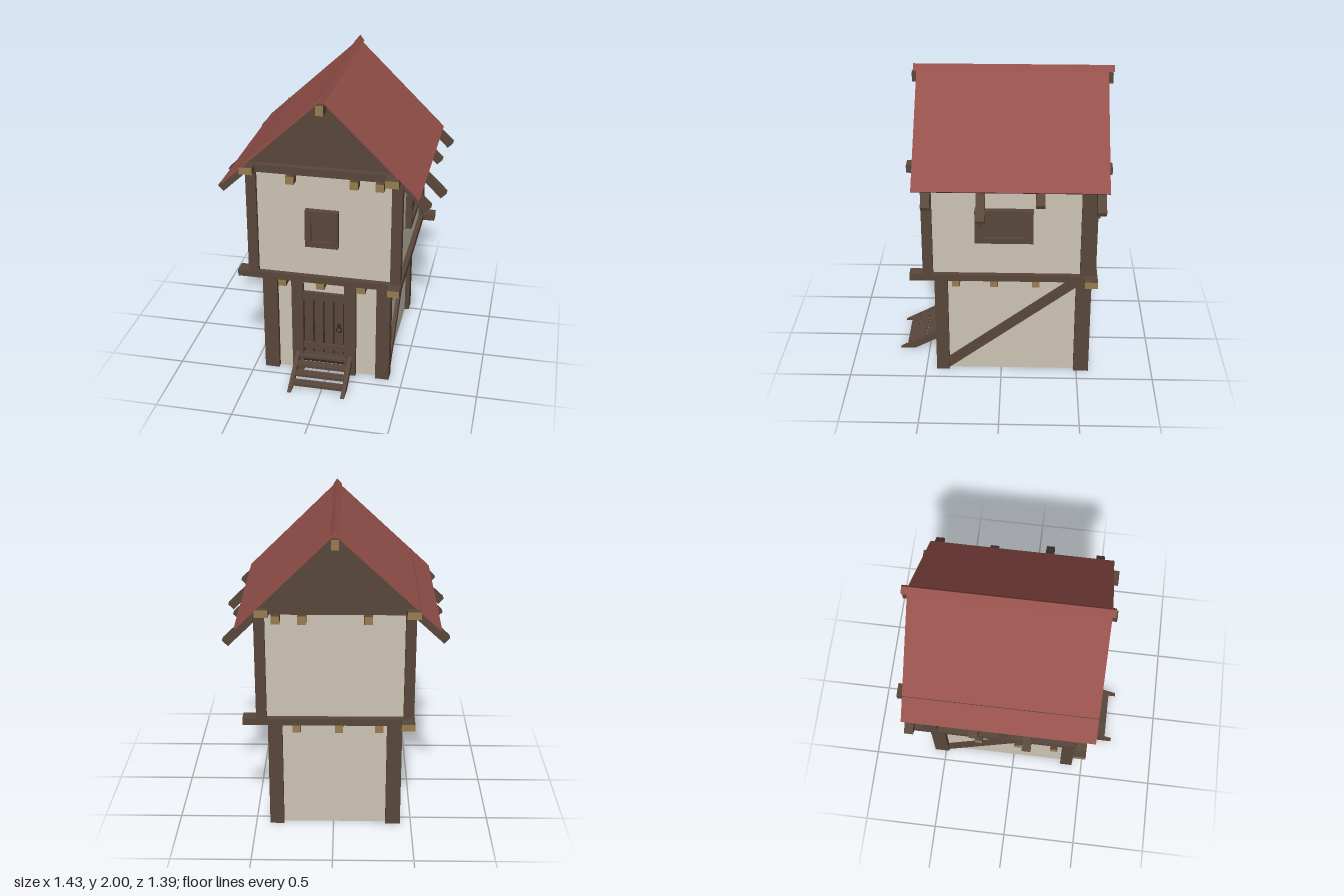
import * as THREE from 'three';

const flat = (name, color) => {
  const m = new THREE.MeshStandardMaterial({ color });
  m.name = name;
  return m;
};

export function createModel() {
  const model = new THREE.Group();
  model.name = 'timberHouse';
  const plaster = flat('plaster', 0xcdc4b4);
  const timber = flat('timber', 0x59473b);
  const endGrain = flat('endGrain', 0x987d50);
  const tiles = flat('roofTiles', 0x95504a);
  const gap = flat('darkGap', 0x32271f);
  plaster.side = THREE.DoubleSide;

  const add = (name, geo, mat) => {
    const m = new THREE.Mesh(geo, mat);
    m.name = name;
    model.add(m);
    return m;
  };
  // Box given by its limits on each axis
  const box = (name, x0, x1, y0, y1, z0, z1, mat = timber) => {
    const m = add(name, new THREE.BoxGeometry(x1 - x0, y1 - y0, z1 - z0), mat);
    m.position.set((x0 + x1) / 2, (y0 + y1) / 2, (z0 + z1) / 2);
    return m;
  };
  // Horizontal timbers with pale cut ends
  const capX = [endGrain, endGrain, timber, timber, timber, timber];
  const capZ = [timber, timber, timber, timber, endGrain, endGrain];
  // Sloping beam between two points; w is horizontal, h is across the slope
  const beam = (name, a, b, w, h, mat = timber) => {
    const p = new THREE.Vector3(...a), q = new THREE.Vector3(...b);
    const m = add(name, new THREE.BoxGeometry(w, h, p.distanceTo(q)), mat);
    m.position.copy(p).add(q).multiplyScalar(0.5);
    m.lookAt(q);
    return m;
  };
  // Extruded outline running along z
  const prism = (name, pts, z0, z1, mat) => {
    const shape = new THREE.Shape(pts.map(p => new THREE.Vector2(...p)));
    const m = add(name, new THREE.ExtrudeGeometry(shape, { depth: z1 - z0, bevelEnabled: false }), mat);
    m.position.z = z0;
    return m;
  };

  // Plaster walls: the lower storey has no floor
  const lower = box('lowerWalls', -0.395, 0.38, 0, 0.73, -0.55, 0.395, plaster);
  const idx = Array.from(lower.geometry.index.array);
  lower.geometry.setIndex([...idx.slice(0, 12), ...idx.slice(24)]);
  lower.geometry.clearGroups();
  box('upperWalls', -0.47, 0.455, 0.745, 1.49, -0.57, 0.47, plaster);

  // Corner posts of both storeys
  for (const [z0, z1] of [[0.345, 0.43], [-0.58, -0.48]]) {
    box('lowerPost', -0.43, -0.335, 0, 0.73, z0, z1);
    box('lowerPost', 0.32, 0.41, 0, 0.73, z0, z1);
  }
  for (const [z0, z1] of [[0.43, 0.495], [-0.6, -0.5]]) {
    box('upperPost', -0.5, -0.435, 0.765, 1.47, z0, z1);
    box('upperPost', 0.415, 0.48, 0.765, 1.47, z0, z1);
  }

  // Floor ring, each beam running past the next one
  box('frontFloorBeam', -0.57, 0.41, 0.725, 0.77, 0.42, 0.505, capX);
  box('leftFloorBeam', 0.41, 0.487, 0.725, 0.77, -0.525, 0.58, capZ);
  box('backFloorBeam', -0.42, 0.565, 0.725, 0.77, -0.61, -0.525, capX);
  box('rightFloorBeam', -0.505, -0.42, 0.725, 0.77, -0.68, 0.42, capZ);

  // Joists under the floor, both ways
  for (const x of [-0.285, -0.035, 0.23]) box('floorJoist', x - 0.026, x + 0.026, 0.67, 0.725, -0.6, 0.485, capZ);
  for (const z of [0.288, 0.045, -0.222]) box('crossJoist', -0.525, 0.47, 0.673, 0.725, z - 0.025, z + 0.025, capX);

  // Top plates and ceiling joists
  box('frontPlate', -0.5, 0.46, 1.465, 1.515, 0.43, 0.5);
  box('backPlate', -0.5, 0.46, 1.465, 1.515, -0.62, -0.54);
  box('leftPlate', 0.385, 0.467, 1.465, 1.512, -0.675, 0.575, capZ);
  box('rightPlate', -0.52, -0.437, 1.465, 1.512, -0.693, 0.556, capZ);
  for (const x of [-0.21, 0.187, 0.345]) box('ceilingJoist', x - 0.026, x + 0.026, 1.413, 1.465, -0.65, 0.53, capZ);

  // Wall braces
  beam('leftLowerBrace', [0.375, 0.03, 0.37], [0.375, 0.7, -0.51], 0.06, 0.06);
  beam('rightLowerBrace', [-0.39, 0.03, -0.51], [-0.39, 0.7, 0.37], 0.06, 0.06);
  box('rightMiddlePost', -0.5, -0.45, 0.765, 1.47, -0.09, -0.03);
  for (const s of [-1, 1]) beam('rightUpperBrace', [-0.47, 0.95, -0.06], [-0.47, 1.41, -0.06 + s * 0.46], 0.05, 0.05);

  // Gables
  for (const z of [0.435, -0.62]) {
    prism('gable', [[-0.49, 1.49], [0.465, 1.49], [-0.008, 1.96]], z, z + 0.025, timber);
  }

  // Roof slopes and rafters: [side, slope, eave x, rafters as [z, end x]]
  const ax = -0.008, ay = 1.985;
  const slopes = [
    [1, 0.985, 0.59, [[-0.61, 0.675], [-0.243, 0.645], [0.12, 0.717], [0.452, 0.66]]],
    [-1, 0.93, -0.645, [[-0.61, -0.705], [-0.212, -0.69], [0.12, -0.725], [0.452, -0.69]]],
  ];
  for (const [s, k, eave, rafters] of slopes) {
    const c = 1 / Math.hypot(1, k), n = [s * k * c, c];
    // Point under the ridge line at x, sunk by d across the slope
    const at = (x, d, z) => [x - n[0] * d, ay - k * Math.abs(x - ax) - n[1] * d, z];
    beam('roofSlope', at(ax, 0.006, -0.06), at(eave, 0.006, -0.06), 1.2, 0.012, tiles);
    for (const [z, x] of rafters) {
      const start = ax + s * 0.02;
      beam('rafter', at(start, 0.037, z), at(x, 0.037, z), 0.055, 0.05, capZ);
    }
  }
  box('ridgeBeam', -0.035, 0.012, 1.887, 1.95, -0.69, 0.57, capZ);
  prism('ridgeCap', [[-0.042, 1.962], [0.018, 1.962], [-0.008, 2]], -0.695, 0.56, tiles);

  // Shuttered windows: raised frame around a sunken panel
  const shutter = (name, w, h, t) => {
    const g = new THREE.Group();
    g.name = name;
    const part = (n, pw, ph, d, x, y) => {
      const m = new THREE.Mesh(new THREE.BoxGeometry(pw, ph, d), timber);
      m.name = n;
      m.position.set(x, y, d / 2 - 0.01);
      g.add(m);
    };
    part('panel', w - t, h - t, 0.03, 0, 0);
    for (const s of [-1, 1]) {
      part('frameSide', t, h, 0.05, s * (w - t) / 2, 0);
      part('frameRail', w - 2 * t, t, 0.05, 0, s * (h - t) / 2);
    }
    model.add(g);
    return g;
  };
  shutter('frontWindow', 0.21, 0.25, 0.038).position.set(-0.02, 1.11, 0.47);
  const side = shutter('leftWindow', 0.365, 0.225, 0.036);
  side.position.set(0.455, 1.112, -0.02);
  side.rotation.y = Math.PI / 2;

  // Door with planks, rails and handle
  box('doorPost', -0.24, -0.165, 0, 0.73, 0.37, 0.43);
  box('doorPost', 0.11, 0.185, 0, 0.73, 0.37, 0.43);
  box('doorBack', -0.165, 0.11, 0.06, 0.59, 0.385, 0.402, gap);
  for (let i = 0; i < 4; i++) {
    const x = -0.158 + i * 0.067;
    box('doorPlank', x, x + 0.056, 0.1, 0.56, 0.39, 0.412);
  }
  box('doorLintel', -0.165, 0.11, 0.545, 0.6, 0.38, 0.42);
  box('doorRail', -0.165, 0.11, 0.175, 0.215, 0.39, 0.422);
  box('doorSill', -0.165, 0.11, 0.1, 0.14, 0.38, 0.42);
  const ring = add('doorRing', new THREE.TorusGeometry(0.018, 0.004, 6, 12), gap);
  ring.position.set(0.072, 0.335, 0.416);
  box('doorHandlePlate', 0.062, 0.082, 0.35, 0.38, 0.41, 0.42, gap);

  // Steps: slanted side boards with four treads
  for (const x of [-0.215, 0.138]) {
    const board = prism('stepSide', [[0.7, 0], [0.6, 0], [0.41, 0.1], [0.41, 0.155]], 0, 0.026, timber);
    board.rotation.y = -Math.PI / 2;
    board.position.set(x + 0.026, 0, 0);
  }
  for (let i = 0; i < 4; i++) {
    const z = 0.622 - i * 0.066, y = 0.022 + i * 0.03;
    box('stepTread', -0.19, 0.138, y, y + 0.018, z - 0.028, z + 0.028);
  }
  return model;
}
